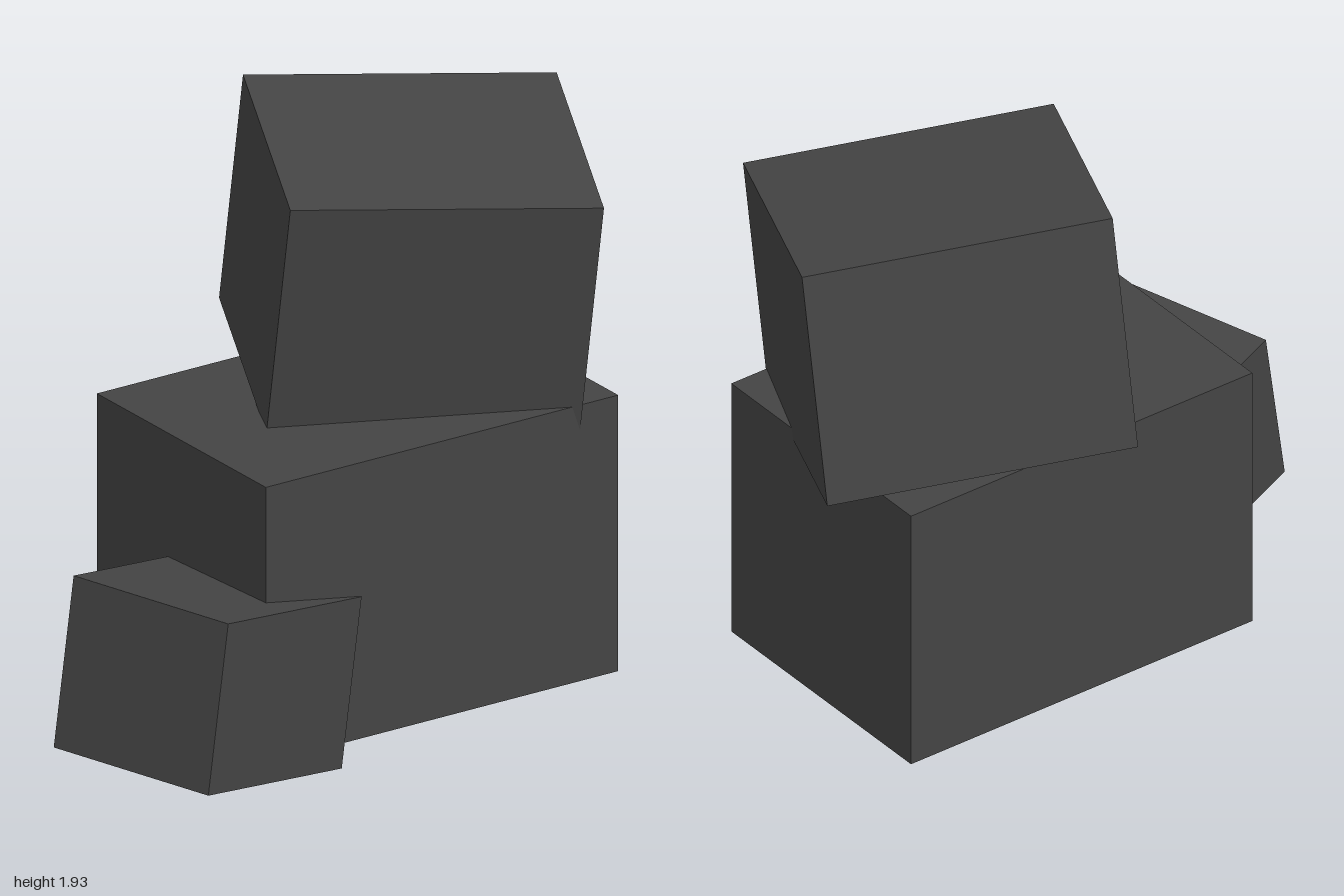
import * as THREE from 'three';

export function createModel() {
  const group = new THREE.Group();
  const stone = new THREE.MeshStandardMaterial({ color: 0x444444 });
  stone.name = 'dark stone';

  // A tilted block, oriented by its own x (sideways) and z (forward) directions
  function block(name, size, centre, xDir, zDir) {
    const mesh = new THREE.Mesh(new THREE.BoxGeometry(...size), stone);
    const x = new THREE.Vector3(...xDir).normalize();
    const y = new THREE.Vector3(...zDir).cross(x).normalize();
    const z = new THREE.Vector3().crossVectors(x, y);
    mesh.quaternion.setFromRotationMatrix(new THREE.Matrix4().makeBasis(x, y, z));
    mesh.position.set(...centre);
    mesh.name = name;
    group.add(mesh);
  }

  // Large level block in the middle
  block('mainBlock', [1.36, 0.95, 0.95], [0.174, 0.545, -0.123], [1.32, 0, -0.325], [0.23, 0, 0.92]);
  // Tilted block resting on top
  block('upperBlock', [1.018, 0.82, 0.863], [0.4, 1.43, -0.236], [1, -0.07, 0.175], [-0.16, -0.12, 0.84]);
  // Small block leaning against the side
  block('lowerBlock', [0.68, 0.568, 0.636], [-0.508, 0.34, 0.335], [0.58, -0.12, -0.335], [0.32, 0, 0.55]);

  return group;
}
